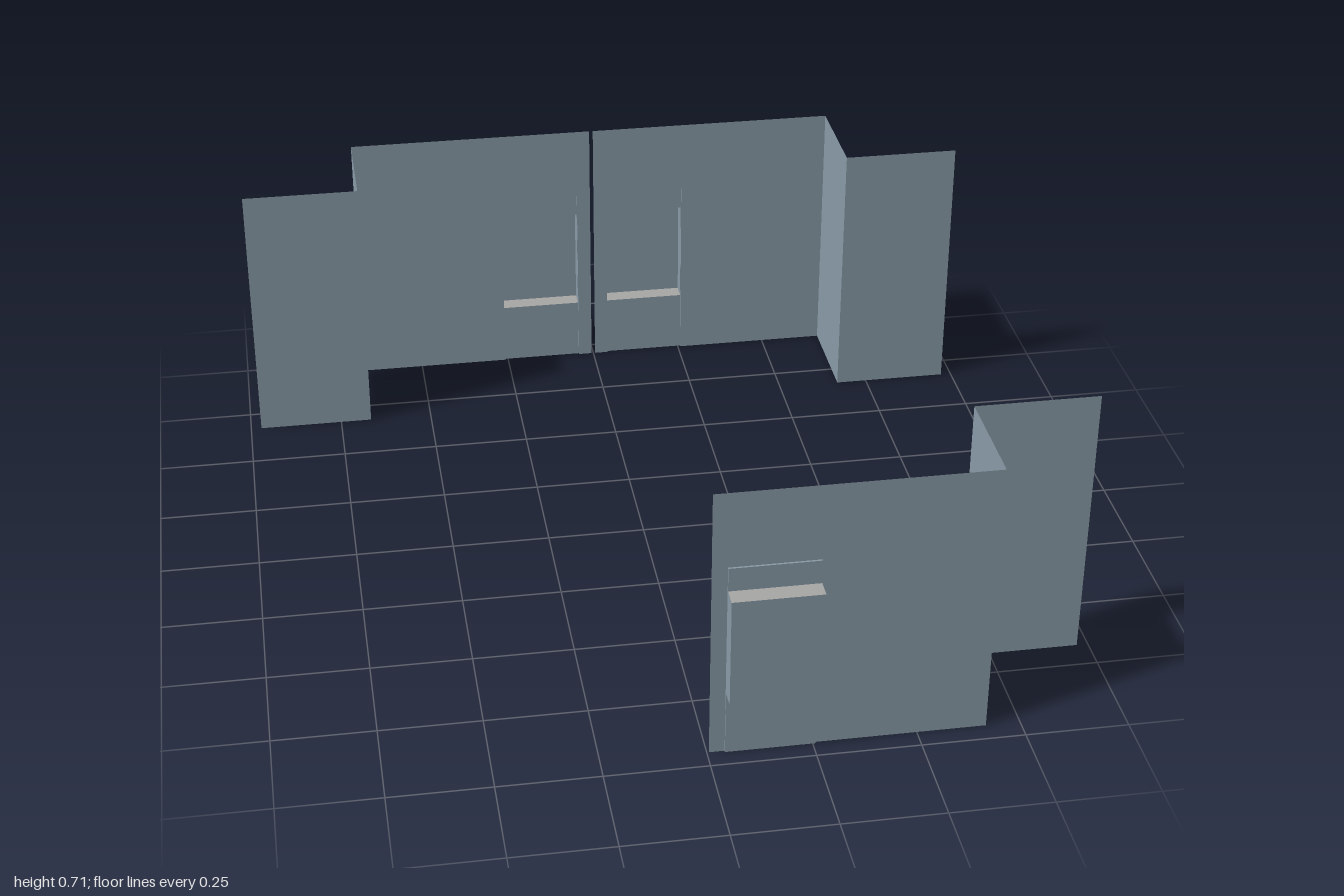
import * as THREE from 'three';

const HEIGHT = 0.71;
const GAP = 0.005, CORNER = 0.667, OUTER = 0.972;      // x stations
const FLANGE_Z = 0.672, WALL_Z = 0.95, STEP_Z = 0.955, BOX_Z = 1.0; // z stations
const X0 = 0.042, X1 = 0.257;                          // recess width
const STEP_TOP = 0.513, BOX_BOTTOM = 0.168, BOX_TOP = 0.452;

export function createModel() {
  const slate = new THREE.MeshStandardMaterial({ color: 0x8a9ca8, side: THREE.DoubleSide });
  slate.name = 'slate wall';
  const grey = new THREE.MeshStandardMaterial({ color: 0xa8a8a6, side: THREE.DoubleSide });
  grey.name = 'grey ledge';

  // One bay: folded wall sheet with a shallow raised panel and a box niche
  function makeBay(name, side) {
    const bay = new THREE.Group();
    bay.name = name;

    const add = (part, geometry, material = slate) => {
      const mesh = new THREE.Mesh(geometry, material);
      mesh.name = part;
      bay.add(mesh);
    };
    const outline = (points, Type = THREE.Shape) =>
      new Type(points.map(([x, y]) => new THREE.Vector2(x * side, y)));
    const rect = (x0, y0, x1, y1) => [[x0, y0], [x1, y0], [x1, y1], [x0, y1]];
    // Sheets facing z, x and y
    const sheetZ = (shape, z) => new THREE.ShapeGeometry(shape).translate(0, 0, z);
    const sheetX = (x, y0, y1, z0, z1) => new THREE.PlaneGeometry(z1 - z0, y1 - y0)
      .rotateY(side * Math.PI / 2).translate(x * side, (y0 + y1) / 2, (z0 + z1) / 2);
    const sheetY = (y, z0, z1) => new THREE.PlaneGeometry(X1 - X0, z1 - z0)
      .rotateX(-Math.PI / 2).translate(side * (X0 + X1) / 2, y, (z0 + z1) / 2);

    // Folded wall, notched where the raised panel sits
    add('mainWall', sheetZ(outline([
      [GAP, 0], [X0, 0], [X0, STEP_TOP], [X1, STEP_TOP], [X1, 0],
      [CORNER, 0], [CORNER, HEIGHT], [GAP, HEIGHT],
    ]), WALL_Z));
    add('returnWall', sheetX(CORNER, 0, HEIGHT, FLANGE_Z, WALL_Z));
    add('outerFlange', sheetZ(outline(rect(CORNER, 0, OUTER, HEIGHT)), FLANGE_Z));

    // Raised panel with an opening into the niche
    const panel = outline(rect(X0, 0, X1, STEP_TOP));
    panel.holes.push(outline(rect(X0, BOX_BOTTOM, X1, BOX_TOP).map(
      ([x, y]) => [x === X0 ? X0 + 0.0005 : X1 - 0.0005, y]), THREE.Path));
    add('raisedPanel', sheetZ(panel, STEP_Z));
    add('raisedPanelTop', sheetY(STEP_TOP, WALL_Z, STEP_Z));

    // Box niche, open to the inside
    add('nicheFace', sheetZ(outline(rect(X0, BOX_BOTTOM, X1, BOX_TOP)), BOX_Z));
    for (const [label, x] of [['Inner', X0], ['Outer', X1]]) {
      add('raisedPanelEdge' + label, sheetX(x, 0, STEP_TOP, WALL_Z, STEP_Z));
      add('nicheSide' + label, sheetX(x, BOX_BOTTOM, BOX_TOP, STEP_Z, BOX_Z));
    }
    add('nicheTop', sheetY(BOX_TOP, STEP_Z, BOX_Z), grey);
    add('nicheSill', sheetY(BOX_BOTTOM, STEP_Z, BOX_Z), grey);
    return bay;
  }

  // One bay at the front left, two facing the back
  const model = new THREE.Group();
  model.name = 'wallPanels';
  model.add(makeBay('frontLeftBay', 1));
  for (const [name, side] of [['backRightBay', 1], ['backLeftBay', -1]]) {
    const bay = makeBay(name, side);
    bay.rotation.y = Math.PI;
    model.add(bay);
  }
  return model;
}
